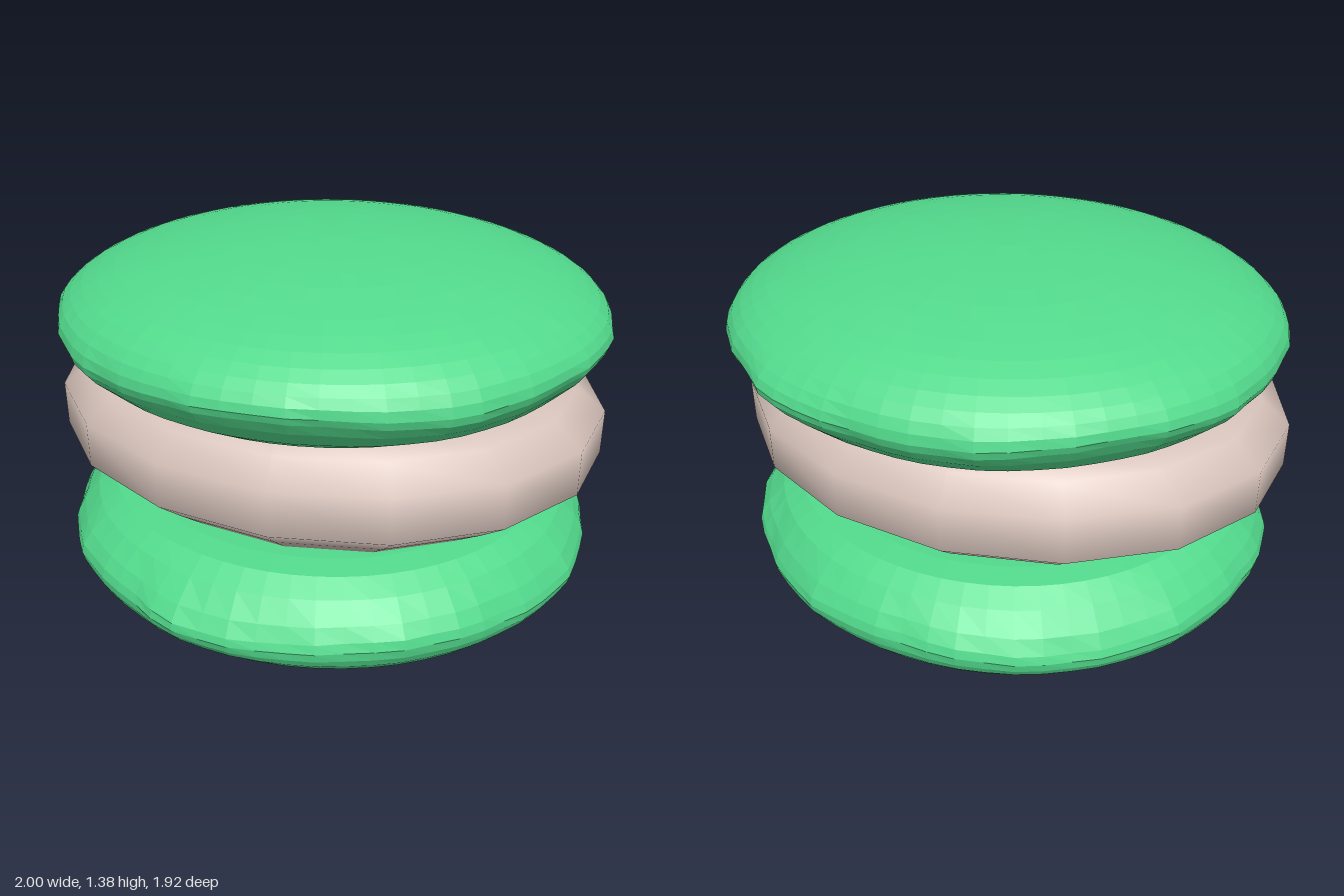
import * as THREE from 'three';

const SIDES = 64;
const green = new THREE.MeshStandardMaterial({ color: 0x52d98c, flatShading: true });
const cream = new THREE.MeshStandardMaterial({ color: 0xd9c5bd });

// Cookie shell: domed ellipse on the outside, a steeper rounded foot on the inside.
// Built dome-up with the rim at y = 0, then flipped for the lower shell.
function makeShell({ name, y, dome, foot, rx, rz, x, z, flip, bump, phase }) {
  const profile = [[0, -1], [0.4, -1], [0.74, -0.98], [0.83, -0.92], [0.9, -0.7], [0.96, -0.38], [0.99, -0.15]]
    .map(([r, h]) => new THREE.Vector2(r, h * foot));
  for (let i = 0; i <= 14; i++) {
    const a = (i / 14) * Math.PI / 2;
    profile.push(new THREE.Vector2(Math.cos(a), Math.sin(a) * dome));
  }
  const geometry = new THREE.LatheGeometry(profile, SIDES);

  // Uneven rim: gentle ripples plus one small outward lump
  const p = geometry.attributes.position;
  for (let i = 0; i < p.count; i++) {
    const px = p.getX(i), py = p.getY(i), pz = p.getZ(i);
    const angle = Math.atan2(px, pz);
    const rim = Math.max(0, 1 - Math.abs(py + 0.03) / 0.13) * (Math.hypot(px, pz) > 0.8 ? 1 : 0);
    const ripple = 0.006 * Math.sin(9 * angle + phase) + 0.005 * Math.sin(23 * angle + 2 * phase);
    const away = Math.atan2(Math.sin(angle - bump), Math.cos(angle - bump));
    const lump = 0.03 * Math.max(0, 1 - Math.abs(away) / 0.25);
    const k = 1 + rim * (ripple + lump);
    const lift = rim * 0.012 * Math.sin(5 * angle + phase);
    p.setXYZ(i, px * k, py + lift, pz * k);
  }
  geometry.scale(rx, 1, rz);
  if (flip) geometry.rotateZ(Math.PI);
  geometry.computeVertexNormals();

  const shell = new THREE.Mesh(geometry, green);
  shell.name = name;
  shell.position.set(x, y, z);
  return shell;
}

// Low-poly chamfered disc of cream, narrower front to back
function makeFilling() {
  const profile = [[0, 0.47], [0.75, 0.475], [0.89, 0.57], [1, 0.65], [1, 0.81], [0.9, 0.89], [0.82, 0.945], [0, 0.95]]
    .map(([r, h]) => new THREE.Vector2(r, h));
  const sides = 16;
  const geometry = new THREE.LatheGeometry(profile, sides, Math.PI / sides);
  geometry.scale(1.013, 1, 0.846);
  const filling = new THREE.Mesh(geometry, cream);
  filling.name = 'filling';
  filling.position.x = -0.007;
  return filling;
}

export function createModel() {
  const model = new THREE.Group();
  model.name = 'sandwichCookie';
  model.add(
    makeShell({
      name: 'topShell', y: 1.1, dome: 0.28, foot: 0.18, rx: 0.985, rz: 0.945,
      x: 0.01, z: -0.015, flip: false, bump: Math.atan2(0.31, -0.95), phase: 0.6,
    }),
    makeFilling(),
    makeShell({
      name: 'bottomShell', y: 0.29, dome: 0.29, foot: 0.2, rx: 0.98, rz: 0.94,
      x: 0, z: 0.005, flip: true, bump: Math.atan2(0.11, 0.96), phase: 2.1,
    }),
  );
  return model;
}
